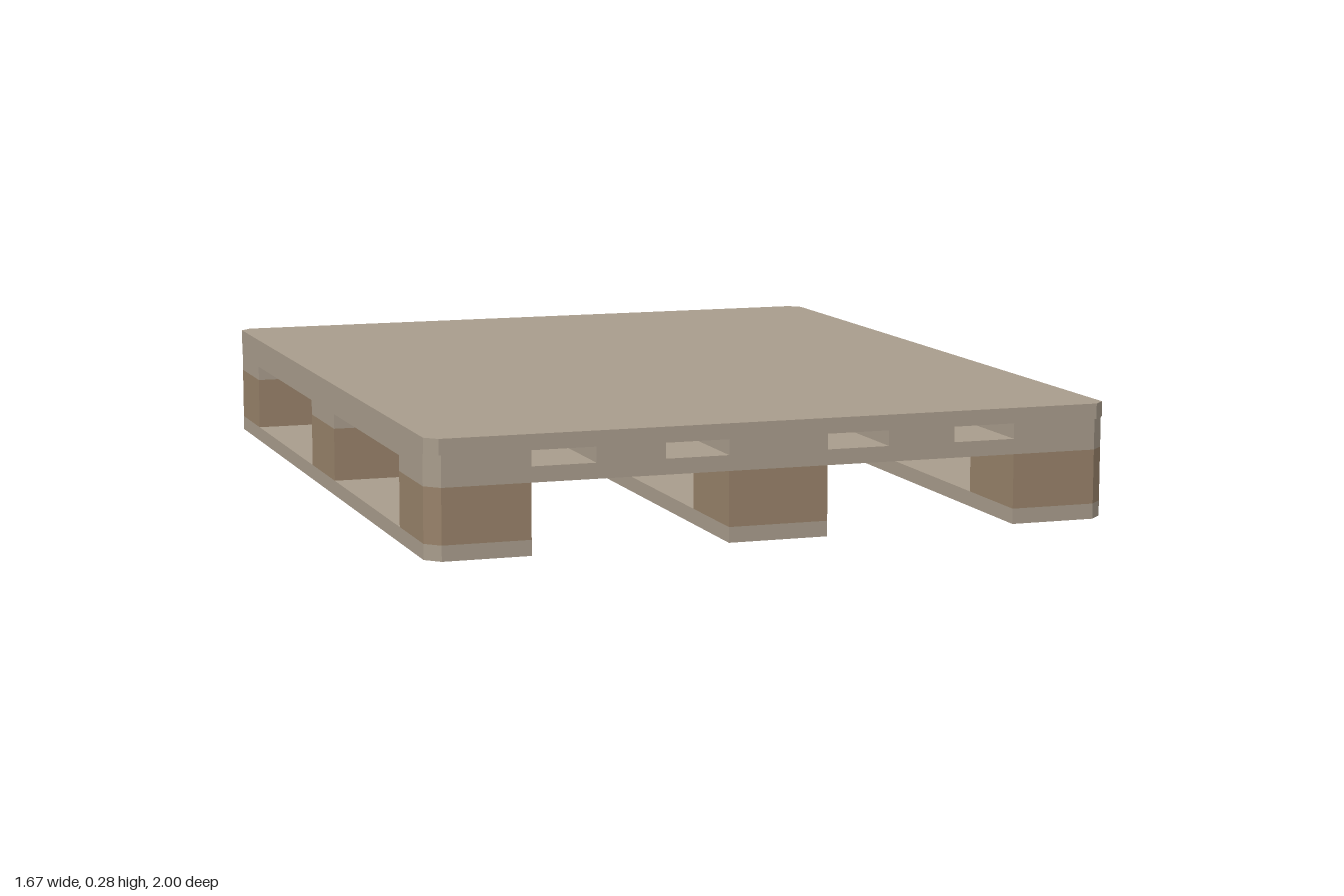
import * as THREE from 'three';

const HX = 0.833, HZ = 1;          // half width and half length
const W = 0.2417;                  // wide board and block width
const T = 0.0367;                  // board thickness
const BLOCK_H = 0.13;

const boardMat = new THREE.MeshStandardMaterial({ color: 0xa89c8c });
const blockMat = new THREE.MeshStandardMaterial({ color: 0x978169 });

// Horizontal slab whose corners are cut only where they meet the pallet's outer corners
function slab(name, mat, cx, cz, w, d, y, h, cut = 0.033) {
  const shape = new THREE.Shape();
  const pts = [];
  for (const [sx, sz] of [[1, 1], [-1, 1], [-1, -1], [1, -1]]) {
    const x = cx + sx * w / 2, z = cz + sz * d / 2;
    const outer = Math.abs(x) > HX - 0.001 && Math.abs(z) > HZ - 0.001;
    if (!outer) { pts.push([x, z]); continue; }
    const a = [x, z - sz * cut], b = [x - sx * cut, z];
    pts.push(...(sx * sz > 0 ? [a, b] : [b, a]));
  }
  // shape y becomes -z once the extrusion is laid flat
  pts.forEach(([x, z], i) => (i ? shape.lineTo(x, -z) : shape.moveTo(x, -z)));
  shape.closePath();
  const geo = new THREE.ExtrudeGeometry(shape, { depth: h, bevelEnabled: false });
  geo.rotateX(-Math.PI / 2);
  const mesh = new THREE.Mesh(geo, mat);
  mesh.name = name;
  mesh.position.y = y;
  return mesh;
}

export function createModel() {
  const pallet = new THREE.Group();
  pallet.name = 'pallet';
  const columns = [-HX + W / 2, 0, HX - W / 2];
  const rows = [-HZ + W / 2, 0, HZ - W / 2];
  const yCross = T + BLOCK_H, yDeck = yCross + T, yTop = yDeck + T;

  // Skids on the ground with three blocks each
  for (const x of columns) {
    pallet.add(slab('bottomBoard', boardMat, x, 0, W, 2 * HZ, 0, T));
    for (const z of rows) pallet.add(slab('block', blockMat, x, z, W, W, T, BLOCK_H));
  }

  // Cross boards resting on the blocks
  for (const z of rows) pallet.add(slab('crossBoard', boardMat, 0, z, 2 * HX, W, yCross, T));

  // Lengthwise deck boards: wide over the blocks, narrow in between
  for (const x of columns) pallet.add(slab('wideDeckBoard', boardMat, x, 0, W, 2 * HZ, yDeck, T));
  for (const s of [-1, 1]) pallet.add(slab('narrowDeckBoard', boardMat, s * 0.356, 0, 0.165, 2 * HZ, yDeck, T));

  // Closed top sheet
  pallet.add(slab('topSheet', boardMat, 0, 0, 2 * HX, 2 * HZ, yTop, T, 0.028));
  return pallet;
}
